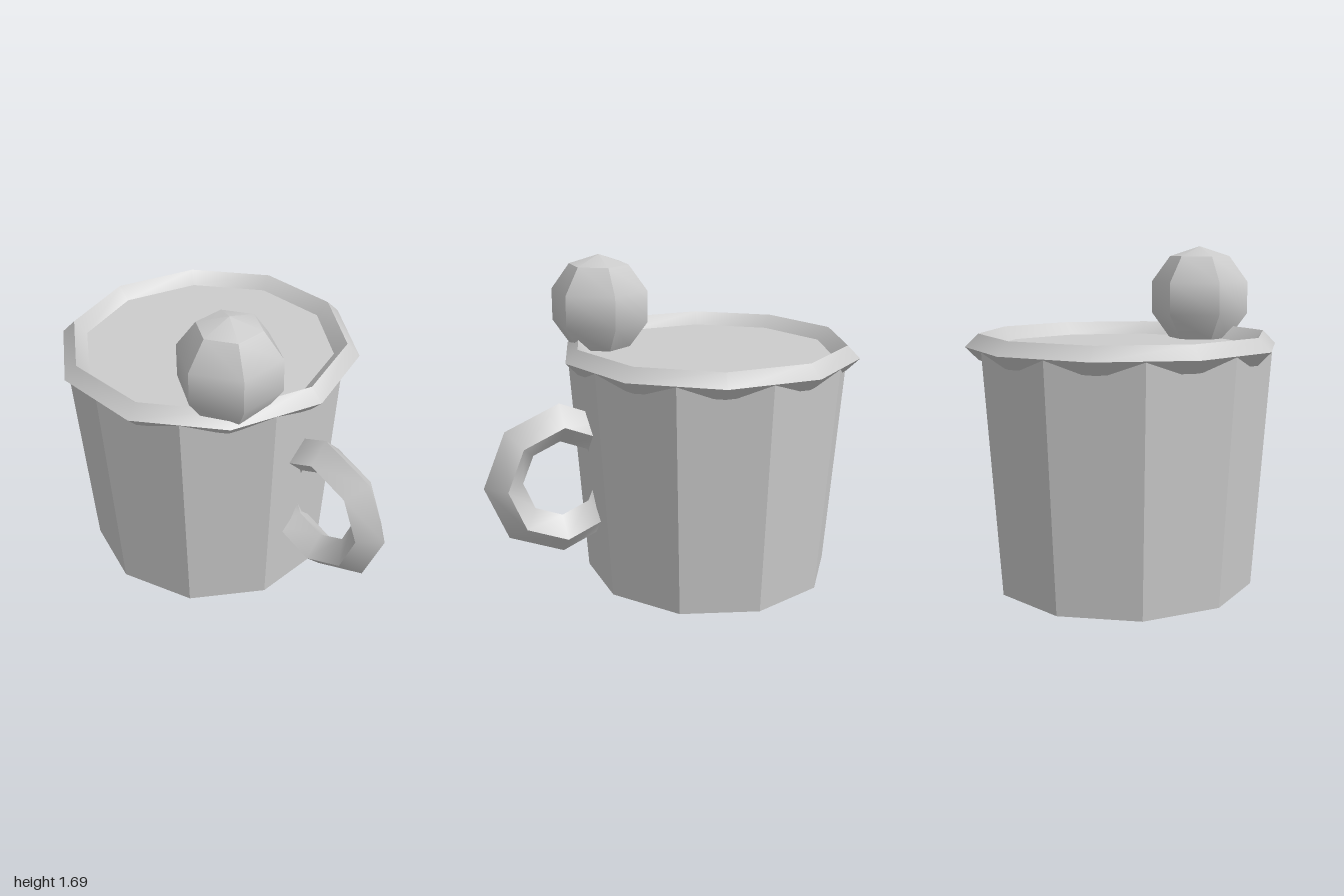
import * as THREE from 'three';
import { toCreasedNormals } from 'three/addons/utils/BufferGeometryUtils.js';

const CUP_X = -0.22;
const CREASE = 0.6; // softens shallow bends, keeps the main facets sharp

export function createModel() {
  const group = new THREE.Group();
  group.name = 'mug';
  const grey = new THREE.MeshStandardMaterial({ color: 0xcccccc });
  grey.name = 'plain grey';

  const add = (name, geometry, x, y, z) => {
    const mesh = new THREE.Mesh(toCreasedNormals(geometry, CREASE), grey);
    mesh.name = name;
    mesh.position.set(x, y, z);
    group.add(mesh);
    return mesh;
  };

  // Tapered ten-sided cup, its top face is the filling
  add('cup', new THREE.CylinderGeometry(0.738, 0.652, 1.2, 10), CUP_X, 0.6, 0);

  // Diamond-section rim, corners offset half a side from the cup
  add('rim', new THREE.TorusGeometry(0.715, 0.065, 4, 10).rotateX(-Math.PI / 2), CUP_X, 1.2, 0);

  // Octagonal ring handle, its inner part sunk in the cup
  add('handle', new THREE.TorusGeometry(0.3, 0.1, 4, 8), 0.6, 0.6, 0);

  // Six-sided ball resting on the rim
  add('ball', new THREE.SphereGeometry(0.27, 6, 5).rotateY(Math.PI / 2), 0.27, 1.415, 0.325);

  return group;
}
